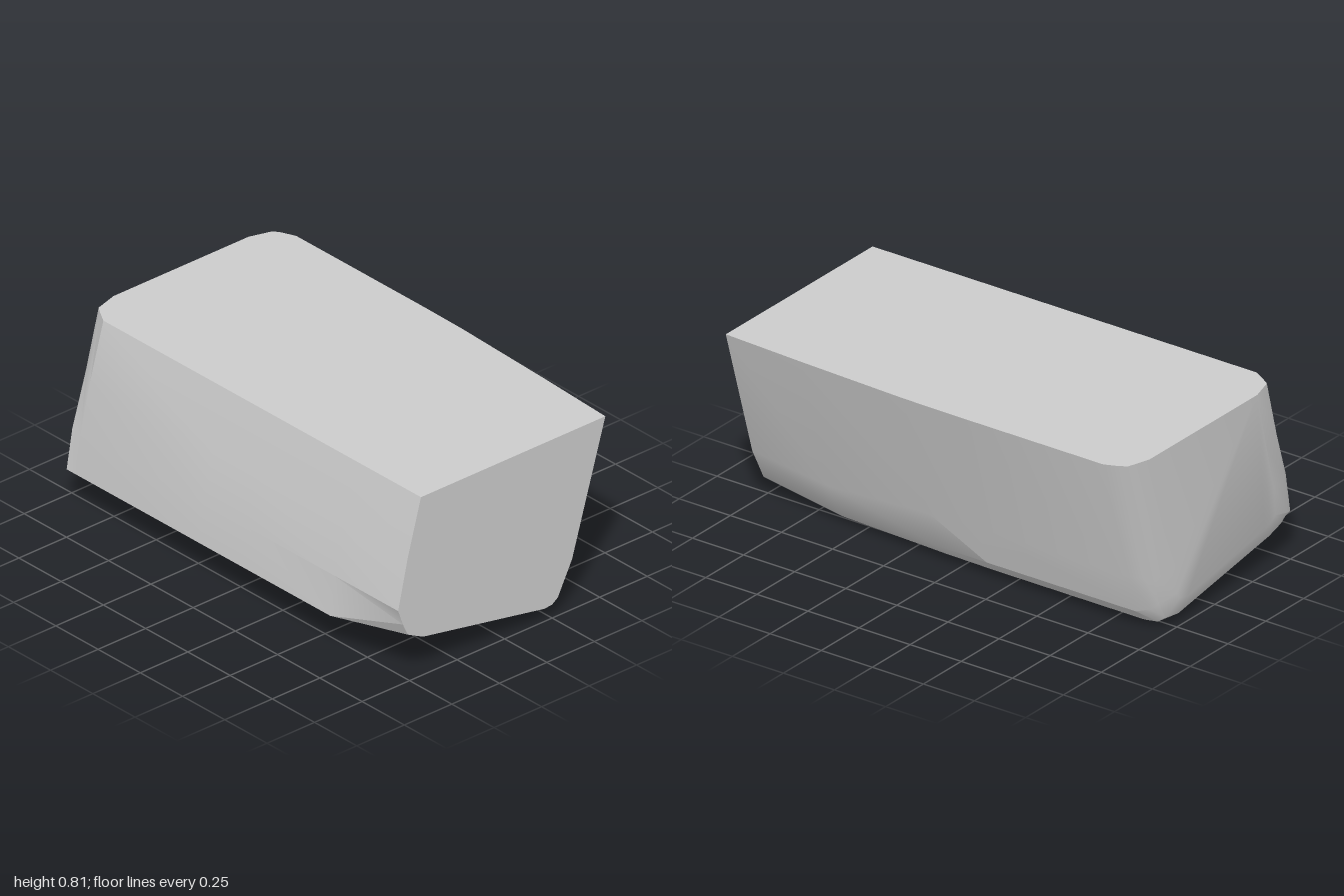
import * as THREE from 'three';
import { toCreasedNormals } from 'three/addons/utils/BufferGeometryUtils.js';

// Lower and side outline shared by the straight middle of the block,
// listed clockwise from the top left corner
const side = [[-0.58, 0.165], [-0.56, 0.34], [-0.51, 0.56]];
const base = [[0.2, 0.003], [-0.4, 0.105], [-0.515, 0.14]];
const full = [[-0.44, 0.81], [0.575, 0.81], [0.41, 0.25], [0.36, 0.08], [0.3, 0.02], ...base, ...side];

// Cross-sections from the flat front to the bevelled back
const sections = [
  { z: 1, pts: [[-0.44, 0.81], [0.53, 0.81], [0.355, 0.23], [0.28, 0.085], [0.25, 0.064], [0.21, 0.06],
    [-0.43, 0.175], [-0.51, 0.215], [-0.535, 0.27], [-0.56, 0.34], [-0.51, 0.56]] },
  { z: 0.62, pts: [[-0.44, 0.81], [0.55, 0.81], [0.365, 0.19], [0.31, 0.06], [0.27, 0.02], ...base, ...side] },
  { z: 0.1, pts: [[-0.44, 0.81], [0.572, 0.81], [0.405, 0.24], [0.35, 0.075], [0.295, 0.02], ...base, ...side] },
  { z: -0.15, pts: full },
  { z: -0.88, pts: full },
  { z: -0.94, pts: [[-0.405, 0.81], [0.55, 0.81], [0.385, 0.25], [0.345, 0.1], [0.295, 0.027], [0.2, 0.018],
    [-0.4, 0.115], [-0.515, 0.145], [-0.58, 0.165], [-0.55, 0.34], [-0.48, 0.56]] },
  { z: -0.97, pts: [[-0.385, 0.81], [0.53, 0.81], [0.365, 0.25], [0.325, 0.12], [0.285, 0.048], [0.2, 0.035],
    [-0.4, 0.135], [-0.48, 0.16], [-0.52, 0.19], [-0.505, 0.34], [-0.45, 0.56]] },
  { z: -1, pts: [[-0.28, 0.81], [0.43, 0.81], [0.28, 0.25], [0.25, 0.15], [0.23, 0.122], [0.18, 0.11],
    [-0.33, 0.2], [-0.37, 0.213], [-0.4, 0.235], [-0.39, 0.36], [-0.34, 0.56]] },
];

// Skin the cross-sections and close both ends
function loft(list) {
  const n = list[0].pts.length;
  const positions = list.flatMap(({ z, pts }) => pts.flatMap(([x, y]) => [x, y, z]));
  const index = [];
  for (let i = 0; i < list.length - 1; i++) {
    for (let j = 0; j < n; j++) {
      const a = i * n + j, b = i * n + (j + 1) % n;
      index.push(a, b, b + n, a, b + n, a + n);
    }
  }
  const last = (list.length - 1) * n;
  for (let j = 1; j < n - 1; j++) {
    index.push(0, j + 1, j);
    index.push(last, last + j, last + j + 1);
  }
  const geometry = new THREE.BufferGeometry();
  geometry.setAttribute('position', new THREE.Float32BufferAttribute(positions, 3));
  geometry.setIndex(index);
  return toCreasedNormals(geometry, THREE.MathUtils.degToRad(28));
}

export function createModel() {
  const group = new THREE.Group();
  group.name = 'bevelledBlock';
  const body = new THREE.Mesh(loft(sections), new THREE.MeshStandardMaterial({ color: 0xcccccc }));
  body.name = 'body';
  group.add(body);
  return group;
}
